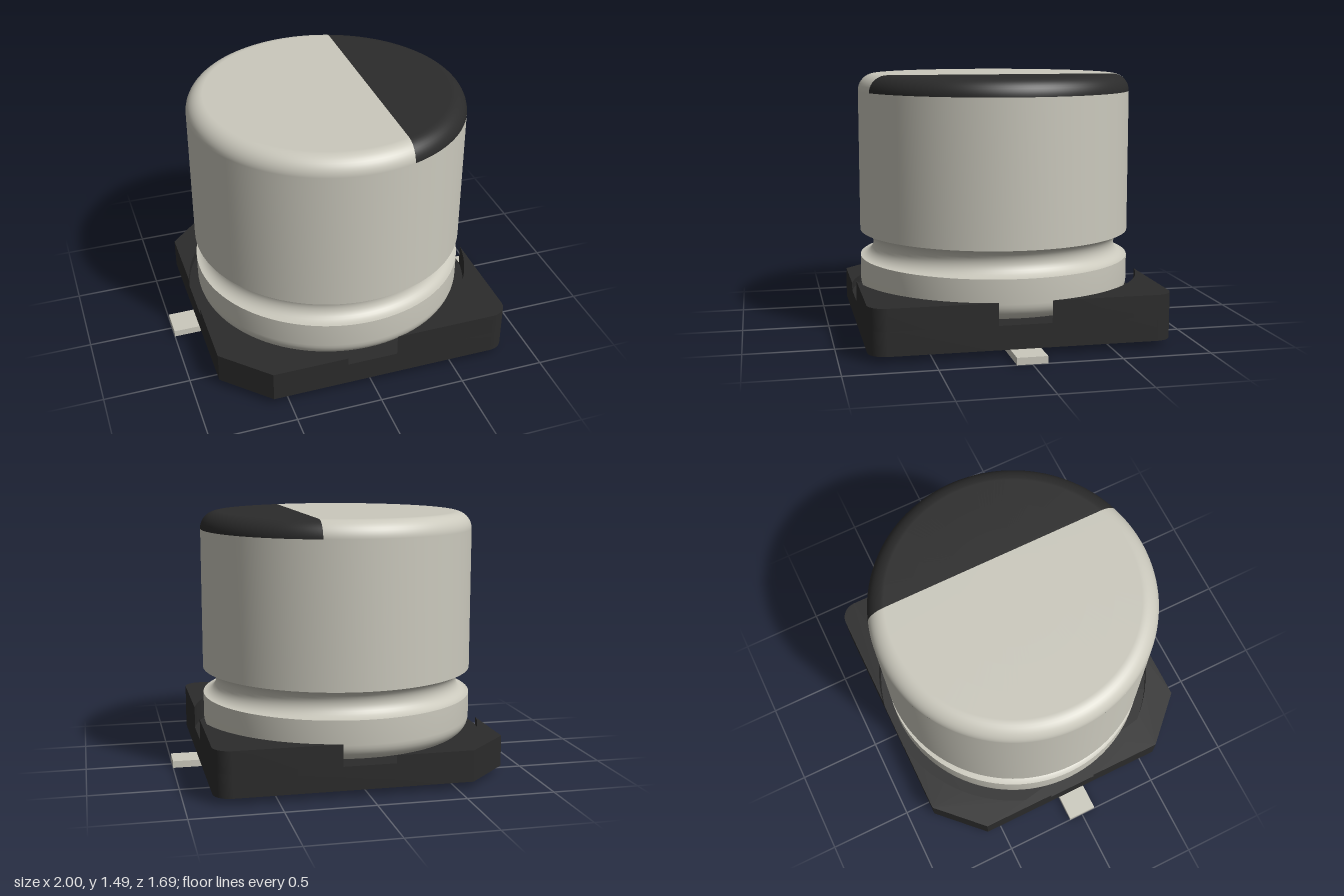
import * as THREE from 'three';
import { toCreasedNormals } from 'three/addons/utils/BufferGeometryUtils.js';

const HALF = 0.845;      // half width of the base
const POCKET = 0.858;    // round pocket, slightly wider than the base
const R = 0.8;           // can radius
const FILLET = 0.1;
const SHOULDER = 1.39, TOP = SHOULDER + FILLET;
const FLOOR = 0.175, BASE_Y = 0.04;
const MARK_X = 0.24;     // edge of the polarity mark

const metal = new THREE.MeshStandardMaterial({ color: 0xcbc9bd });
const black = new THREE.MeshStandardMaterial({ color: 0x2b2b2b });

// Points on an arc, angles in radians
function arc(cx, cy, r, from, to, n) {
  return Array.from({ length: n + 1 }, (_, i) => {
    const t = from + (to - from) * i / n;
    return new THREE.Vector2(cx + r * Math.cos(t), cy + r * Math.sin(t));
  });
}

// Extrude a plan shape upwards from y0 to y1
function slab(name, shape, y0, y1, material) {
  const g = new THREE.ExtrudeGeometry(shape, { depth: y1 - y0, bevelEnabled: false, curveSegments: 24 });
  g.rotateX(-Math.PI / 2).translate(0, y0, 0);
  const mesh = new THREE.Mesh(toCreasedNormals(g, 0.5), material);
  mesh.name = name;
  return mesh;
}

// Outer edge of one base corner: rounded on +x, chamfered on -x
function cornerEdge(sx, sz) {
  const pts = sx > 0
    ? arc(HALF - FILLET, HALF - FILLET, FILLET, 0, Math.PI / 2, 10)
    : [new THREE.Vector2(HALF, 0.59), new THREE.Vector2(0.59, HALF)];
  return pts.map(p => new THREE.Vector2(p.x * sx, p.y * sz));
}

function createBase() {
  const base = new THREE.Group();
  base.name = 'base';
  const outline = [
    ...cornerEdge(1, 1), ...cornerEdge(-1, 1).reverse(),
    ...cornerEdge(-1, -1), ...cornerEdge(1, -1).reverse(),
  ];
  base.add(slab('baseFloor', new THREE.Shape(outline), BASE_Y, FLOOR, black));

  // Four corner walls around the pocket, taller on +x
  const a = Math.acos(HALF / POCKET);
  for (const sx of [1, -1]) for (const sz of [1, -1]) {
    const inner = arc(0, 0, POCKET, Math.PI / 2 - a, a, 32)
      .map(p => new THREE.Vector2(p.x * sx, p.y * sz));
    const wall = new THREE.Shape([...cornerEdge(sx, sz), ...inner]);
    base.add(slab('cornerWall', wall, FLOOR, sx > 0 ? 0.3 : 0.22, black));
  }
  return base;
}

// Can body with rounded foot and rolled groove
function createCanBody() {
  const profile = [
    new THREE.Vector2(0, FLOOR),
    ...arc(R - FILLET, FLOOR + FILLET, FILLET, -Math.PI / 2, 0, 8),
    ...arc(R, 0.492, 0.077, -Math.PI / 2, -Math.PI * 1.5, 16),
    new THREE.Vector2(R, SHOULDER),
  ];
  const g = new THREE.LatheGeometry(profile, 96);
  const mesh = new THREE.Mesh(toCreasedNormals(g, 0.6), metal);
  mesh.name = 'canBody';
  return mesh;
}

// Part of the rounded can top on one side of the plane x = MARK_X
function createTop(name, marked) {
  const rows = [];
  for (let i = 0; i <= 10; i++) {
    const f = Math.PI / 2 * i / 10;
    rows.push([R - FILLET + FILLET * Math.cos(f), SHOULDER + FILLET * Math.sin(f), f]);
  }
  for (const r of [0.55, 0.4, 0.3, MARK_X]) rows.push([r, TOP, Math.PI / 2]);
  if (!marked) rows.push([0, TOP, Math.PI / 2]);

  const cols = 80, position = [], normal = [], index = [];
  rows.forEach(([r, y, f], i) => {
    const a = r > MARK_X ? Math.acos(MARK_X / r) : 0;
    const from = marked ? -a : a, to = marked ? a : 2 * Math.PI - a;
    for (let j = 0; j <= cols; j++) {
      const t = from + (to - from) * j / cols, c = Math.cos(t), s = Math.sin(t);
      position.push(r * c, y, r * s);
      normal.push(Math.cos(f) * c, Math.sin(f), Math.cos(f) * s);
      if (i && j) {
        const p = (i - 1) * (cols + 1) + j - 1, q = p + cols + 1;
        index.push(p, q, p + 1, p + 1, q, q + 1);
      }
    }
  });
  const g = new THREE.BufferGeometry();
  g.setAttribute('position', new THREE.Float32BufferAttribute(position, 3));
  g.setAttribute('normal', new THREE.Float32BufferAttribute(normal, 3));
  g.setIndex(index);
  const mesh = new THREE.Mesh(g, marked ? black : metal);
  mesh.name = name;
  return mesh;
}

// Flat lead with a rounded inner end
function createLead(name, angle) {
  const w = 0.085;
  const shape = new THREE.Shape([
    new THREE.Vector2(1, -w), new THREE.Vector2(1, w),
    ...arc(0.23 + w, 0, w, Math.PI / 2, Math.PI * 1.5, 16),
  ]);
  const lead = slab(name, shape, 0, BASE_Y, metal);
  lead.rotation.y = angle;
  return lead;
}

export function createModel() {
  const model = new THREE.Group();
  model.name = 'surfaceMountCapacitor';
  model.add(
    createBase(),
    createCanBody(),
    createTop('canTop', false),
    createTop('polarityMark', true),
    createLead('leftLead', 0),
    createLead('rightLead', Math.PI),
  );
  return model;
}
